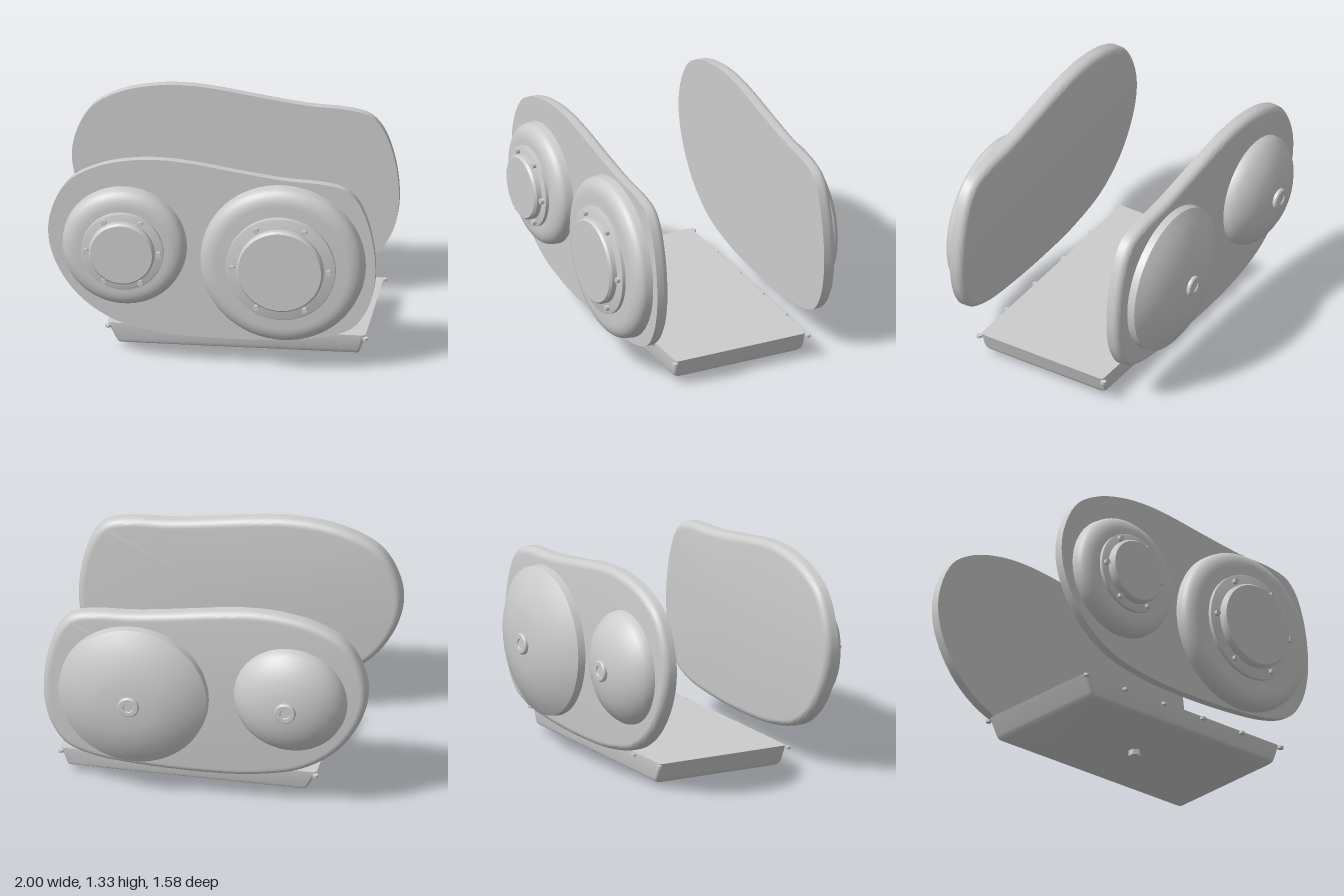
import * as THREE from 'three';
import { toCreasedNormals } from 'three/addons/utils/BufferGeometryUtils.js';

const metal = new THREE.MeshStandardMaterial({ color: 0xcccccc });
metal.name = 'bare metal';

function add(parent, name, geometry, x = 0, y = 0, z = 0) {
  const mesh = new THREE.Mesh(geometry, metal);
  mesh.name = name;
  mesh.position.set(x, y, z);
  parent.add(mesh);
  return mesh;
}

// Skin over counter-clockwise rings listed from high z to low z, capped at both ends
function loft(rings) {
  const n = rings[0].length, pos = [], index = [];
  rings.forEach((ring) => ring.forEach((p) => pos.push(p.x, p.y, p.z)));
  for (let k = 0; k < rings.length - 1; k++) {
    for (let j = 0; j < n; j++) {
      const a = k * n + j, b = k * n + (j + 1) % n;
      index.push(a, a + n, b, b, a + n, b + n);
    }
  }
  [0, rings.length - 1].forEach((k) => {
    const c = new THREE.Vector3();
    rings[k].forEach((p) => c.addScaledVector(p, 1 / n));
    const centre = pos.length / 3;
    pos.push(c.x, c.y, c.z);
    for (let j = 0; j < n; j++) {
      const a = k * n + j, b = k * n + (j + 1) % n;
      if (k === 0) index.push(centre, a, b);
      else index.push(centre, b, a);
    }
  });
  const g = new THREE.BufferGeometry();
  g.setAttribute('position', new THREE.Float32BufferAttribute(pos, 3));
  g.setIndex(index);
  return toCreasedNormals(g, 0.6);
}

// Turned part whose axis runs along +z (dir 1) or -z (dir -1)
function turned(profile, dir, segments = 64) {
  const g = new THREE.LatheGeometry(profile.map(([r, h]) => new THREE.Vector2(r, h)), segments);
  g.rotateX(dir * Math.PI / 2);
  return toCreasedNormals(g, 0.6);
}

// Cover plate outline, counter-clockwise
const outline = new THREE.CatmullRomCurve3([
  [0.997, 0.66], [0.985, 0.83], [0.945, 1.0], [0.89, 1.12], [0.82, 1.19], [0.7, 1.223],
  [0.43, 1.24], [0.1, 1.285], [-0.1, 1.315], [-0.3, 1.332], [-0.5, 1.32], [-0.7, 1.27],
  [-0.87, 1.17], [-0.97, 1.0], [-1.0, 0.83], [-0.96, 0.64], [-0.82, 0.42], [-0.6, 0.265],
  [-0.3, 0.193], [0, 0.175], [0.4, 0.185], [0.7, 0.222], [0.86, 0.29], [0.95, 0.42], [0.985, 0.54],
].map(([x, y]) => new THREE.Vector3(x, y, 0)), true, 'centripetal');

// Plate with a sharp +z rim and a rounded -z rim
function plateGeometry() {
  const n = 120, depth = 0.085, round = 0.045;
  const ring = (inset, z) => Array.from({ length: n }, (_, i) => {
    const p = outline.getPoint(i / n), t = outline.getTangent(i / n);
    return new THREE.Vector3(p.x - t.y * inset, p.y + t.x * inset, z);
  });
  const rings = [ring(0, 0)];
  for (let i = 0; i <= 6; i++) {
    const a = i / 6 * Math.PI / 2;
    rings.push(ring(round * (1 - Math.cos(a)), -(depth - round) - round * Math.sin(a)));
  }
  return loft(rings);
}

// Round front housing: soft rim, raised ring, cap and six bolts
function frontHousing(name, x, y, r, ringR, capR, boltR) {
  const group = new THREE.Group();
  group.name = name;
  group.position.set(x, y, 0.61);
  const rim = [[r, 0], [r - 0.004, 0.04]];
  for (let i = 1; i <= 8; i++) {
    const a = i / 8 * Math.PI / 2;
    rim.push([r - 0.004 - 0.1 * (1 - Math.cos(a)), 0.04 + 0.067 * Math.sin(a)]);
  }
  rim.push([0, 0.107]);
  add(group, 'housing', turned(rim, 1));
  add(group, 'raisedRing', turned([[ringR, 0.1], [ringR, 0.128], [ringR - 0.01, 0.132], [0, 0.132]], 1));
  add(group, 'cap', turned([[capR, 0.12], [capR, 0.163], [capR - 0.012, 0.178], [0, 0.178]], 1));
  for (let i = 0; i < 6; i++) {
    const a = i * Math.PI / 3;
    add(group, 'ringBolt', turned([[0.017, 0], [0.017, 0.03], [0, 0.03]], 1, 12),
      boltR * Math.cos(a), boltR * Math.sin(a), 0.125);
  }
  return group;
}

// Shallow dome on the back with a central plug
function backDome(name, x, y, profile) {
  const group = new THREE.Group();
  group.name = name;
  group.position.set(x, y, -0.59);
  add(group, 'dome', turned(profile, -1));
  add(group, 'plug', turned([[0.065, 0.16], [0.065, 0.193], [0.058, 0.2], [0.032, 0.2],
    [0.028, 0.193], [0, 0.193]], -1, 32));
  return group;
}

// Tray with sloping ends and rounded lower long edges
function panGeometry() {
  const ring = (x0, x1, halfZ, height, slope = 0) => {
    const pts = [], c = 0.02;
    [[x1, halfZ, 0], [x0, halfZ, 1], [x0, -halfZ, 2], [x1, -halfZ, 3]].forEach(([x, y, q]) => {
      const cx = x - Math.sign(x) * c, cy = y - Math.sign(y) * c;
      for (let i = 0; i <= 4; i++) {
        const a = (q + i / 4) * Math.PI / 2;
        const px = cx + c * Math.cos(a);
        pts.push(new THREE.Vector3(px, cy + c * Math.sin(a), height + slope * (px - x0)));
      }
    });
    return pts;
  };
  const g = loft([
    ring(-0.66, 0.915, 0.438, 0.165),
    ring(-0.607, 0.882, 0.438, 0.06, 0.007),
    ring(-0.597, 0.877, 0.432, 0.043, 0.007),
    ring(-0.59, 0.872, 0.418, 0.033, 0.007),
    ring(-0.585, 0.868, 0.4, 0.03, 0.007),
  ]);
  g.rotateX(-Math.PI / 2);
  return g;
}

export function createModel() {
  const model = new THREE.Group();
  model.name = 'engineCovers';

  // Side covers
  const plate = plateGeometry();
  add(model, 'frontCoverPlate', plate, 0, 0, 0.615);
  add(model, 'backCoverPlate', plate, 0, 0, -0.51);
  model.add(frontHousing('smallFrontHousing', -0.532, 0.768, 0.38, 0.25, 0.2, 0.222));
  model.add(frontHousing('largeFrontHousing', 0.435, 0.705, 0.505, 0.335, 0.265, 0.295));
  model.add(backDome('smallBackDome', -0.533, 0.768, [[0.35, 0], [0.345, 0.035], [0.325, 0.065],
    [0.29, 0.1], [0.24, 0.13], [0.19, 0.153], [0.11, 0.173], [0, 0.18]]));
  model.add(backDome('largeBackDome', 0.433, 0.705, [[0.462, 0], [0.457, 0.052], [0.395, 0.095],
    [0.33, 0.125], [0.255, 0.155], [0.165, 0.173], [0, 0.18]]));

  // Bottom pan with bolts along both long edges
  add(model, 'pan', panGeometry(), 0, 0, 0.0085);
  const bolt = new THREE.CylinderGeometry(0.018, 0.018, 0.016, 12);
  for (let i = 0; i < 6; i++) {
    [-0.437, 0.455].forEach((z) => add(model, 'panBolt', bolt, -0.655 + i * 0.314, 0.148, z));
  }
  const drain = new THREE.CylinderGeometry(0.038, 0.038, 0.04, 6);
  add(model, 'drainPlug', toCreasedNormals(drain, 0.6), 0.128, 0.02, 0.013);
  return model;
}
